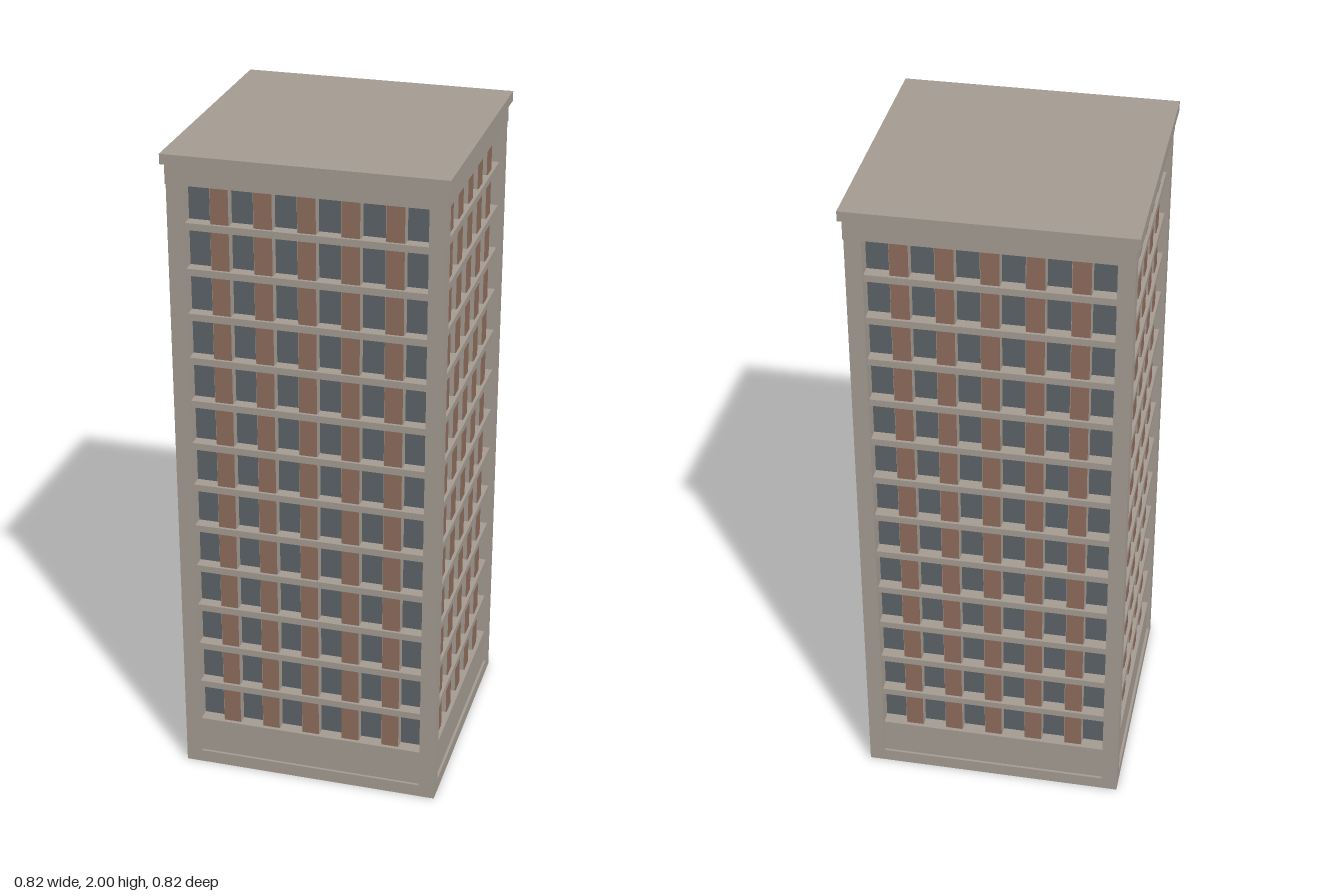
import * as THREE from 'three';
import { mergeGeometries } from 'three/addons/utils/BufferGeometryUtils.js';

const FLOORS = 13, BAYS = 6;
const Y0 = 0.155, Y1 = 1.91;          // glazed zone
const PITCH = 0.1368, SLAB = 0.021;   // storey height and slab thickness
const WIN = 0.07, PIER = 0.056;       // window and pier widths
const CORE = 0.35, PIER_FACE = 0.375, SLAB_FACE = 0.387, POST = 0.398;

export function createModel() {
  const group = new THREE.Group();
  const material = (name, color) => {
    const m = new THREE.MeshStandardMaterial({ color });
    m.name = name;
    return m;
  };
  const stone = material('stone', 0xa39a91);
  const brick = material('brick', 0x8c6a5b);
  const glass = material('glass', 0x5a6266);

  const box = (w, y0, y1, d, x = 0, z = 0) =>
    new THREE.BoxGeometry(w, y1 - y0, d).translate(x, (y0 + y1) / 2, z);
  const add = (name, mat, ...geometries) => {
    const mesh = new THREE.Mesh(mergeGeometries(geometries), mat);
    mesh.name = name;
    group.add(mesh);
  };
  const square = (half, y0, y1) => box(half * 2, y0, y1, half * 2);

  // Plinth, recessed base panels, top beam and roof
  add('plinth', stone, square(POST, 0, 0.04));
  add('basePanels', stone, square(0.39, 0.04, Y0));
  add('topBeam', stone, square(0.4, Y1, 1.97));
  add('roofSlab', stone, square(0.41, 1.97, 2));

  // Glazed core behind the facade
  add('windows', glass, square(CORE, Y0, Y1));

  // Corner posts
  const posts = [];
  const w = POST - CORE, c = (POST + CORE) / 2;
  for (const sx of [-1, 1])
    for (const sz of [-1, 1]) posts.push(box(w, 0.04, Y1, w, sx * c, sz * c));
  add('cornerPosts', stone, ...posts);

  // Floor slabs between the storeys
  const slabs = [];
  for (let f = 1; f < FLOORS; f++) {
    const top = Y0 + f * PITCH;
    slabs.push(square(SLAB_FACE, top - SLAB, top));
  }
  add('floorSlabs', stone, ...slabs);

  // Stone piers faced with brick, repeated on all four sides
  const piers = [], panels = [];
  for (let side = 0; side < 4; side++) {
    const turn = (g) => g.rotateY((side * Math.PI) / 2);
    for (let b = 1; b < BAYS; b++) {
      const x = (b - BAYS / 2) * (WIN + PIER);
      piers.push(turn(box(PIER, Y0, Y1, PIER_FACE - CORE, x, (PIER_FACE + CORE) / 2)));
      for (let f = 0; f < FLOORS; f++) {
        const y = Y0 + f * PITCH;
        const top = Math.min(y + PITCH - SLAB, Y1);
        panels.push(turn(box(PIER - 0.004, y, top, 0.003, x, PIER_FACE + 0.0015)));
      }
    }
  }
  add('piers', stone, ...piers);
  add('brickPanels', brick, ...panels);

  return group;
}
